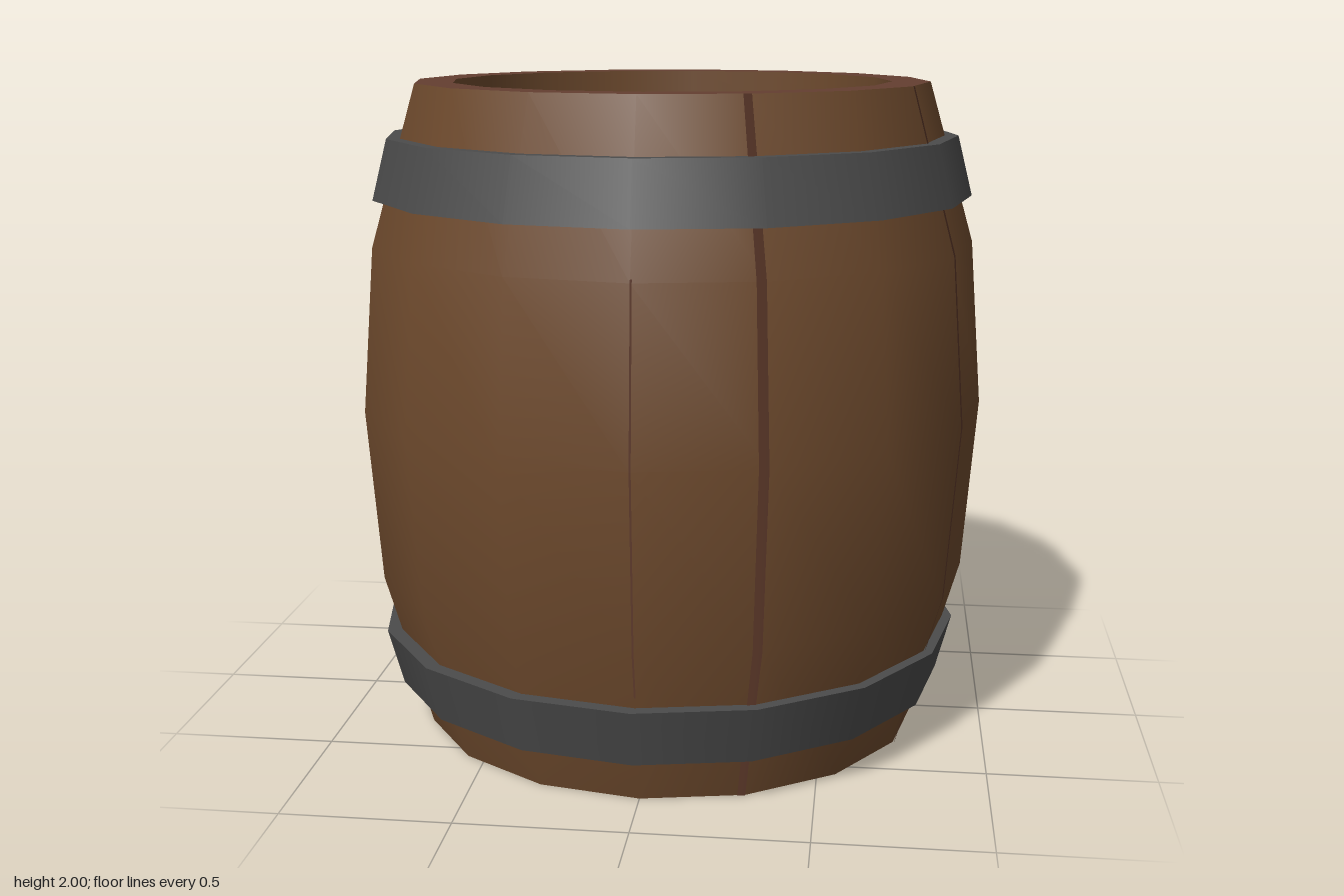
import * as THREE from 'three';

const SIDES = 16;
const PROFILE = [[0.785, 0], [0.925, 0.49], [0.965, 1.02], [0.925, 1.52], [0.785, 2]];

const material = (name, color) => {
  const m = new THREE.MeshStandardMaterial({ color });
  m.name = name;
  return m;
};

// Radius of the staves at height y
function radiusAt(y) {
  const i = Math.max(1, PROFILE.findIndex((p) => p[1] >= y));
  const [r0, y0] = PROFILE[i - 1], [r1, y1] = PROFILE[i];
  return r0 + ((r1 - r0) * (y - y0)) / (y1 - y0);
}

// Sixteen-sided surface, smooth within itself and sharp against its neighbours
function ring(name, points, mat) {
  const pts = points.map(([r, y]) => new THREE.Vector2(r, y));
  const mesh = new THREE.Mesh(new THREE.LatheGeometry(pts, SIDES), mat);
  mesh.name = name;
  return mesh;
}

// Closed iron hoop; its flat edges run in to the staves
function hoop(name, y0, r0, y1, r1, mat) {
  const g = new THREE.Group();
  g.name = name;
  g.add(
    ring('hoopUnderside', [[radiusAt(y0) - 0.02, y0], [r0, y0]], mat),
    ring('hoopFace', [[r0, y0], [r1, y1]], mat),
    ring('hoopTop', [[r1, y1], [radiusAt(y1) - 0.02, y1]], mat)
  );
  return g;
}

// Thin dark strip following one facet, between fractions t0 and t1 of its width
function seam(facet, t0, t1, yStart, yEnd, mat) {
  const step = (Math.PI * 2) / SIDES;
  const a = facet * step, b = a + step;
  const heights = [yStart, ...PROFILE.map((p) => p[1]).filter((y) => y > yStart && y < yEnd), yEnd];
  const pos = [], normal = [], index = [];
  heights.forEach((y, i) => {
    const r = radiusAt(y) + 0.004;
    for (const t of [t0, t1]) {
      const x = THREE.MathUtils.lerp(Math.sin(a), Math.sin(b), t);
      const z = THREE.MathUtils.lerp(Math.cos(a), Math.cos(b), t);
      pos.push(x * r, y, z * r);
      normal.push(x, 0, z);
    }
    const k = i * 2;
    if (i) index.push(k - 2, k - 1, k + 1, k - 2, k + 1, k);
  });
  const geo = new THREE.BufferGeometry();
  geo.setAttribute('position', new THREE.Float32BufferAttribute(pos, 3));
  geo.setAttribute('normal', new THREE.Float32BufferAttribute(normal, 3));
  geo.setIndex(index);
  geo.normalizeNormals();
  const mesh = new THREE.Mesh(geo, mat);
  mesh.name = 'staveSeam';
  return mesh;
}

export function createModel() {
  const wood = material('stave wood', 0x6e4a2d);
  const endWood = material('end wood', 0x643f31);
  const lidWood = material('lid wood', 0x5e3a2f);
  const iron = material('hoop iron', 0x4b4b4b);
  const gap = material('seam wood', 0x5c3829);

  const barrel = new THREE.Group();
  barrel.name = 'barrel';
  const rim = 0.785, hole = 0.67, depth = 0.09;

  // Staves, rims and the recessed lid and base
  barrel.add(
    ring('staves', PROFILE, wood),
    ring('topRim', [[rim, 2], [hole, 2]], endWood),
    ring('topInnerWall', [[hole, 2], [hole, 2 - depth]], wood),
    ring('lid', [[hole, 2 - depth], [0, 2 - depth]], lidWood),
    ring('base', [[0, depth], [hole, depth]], lidWood),
    ring('bottomInnerWall', [[hole, depth], [hole, 0]], wood),
    ring('bottomRim', [[hole, 0], [rim, 0]], endWood)
  );

  // Hoops, the lower one sitting slightly off centre
  const lower = hoop('lowerHoop', 0.14, 0.865, 0.315, 0.912, iron);
  lower.position.set(-0.008, 0, 0.004);
  barrel.add(lower, hoop('upperHoop', 1.66, 0.919, 1.84, 0.873, iron));

  // Seams: facet, start and end fraction, bottom and top
  [
    [0, 0.92, 0.995, 0, 2],
    [3, 0, 0.065, 0, 2],
    [10, 0, 0.06, 0.4, 2],
    [0, 0, 0.015, 0.35, 1.53],
    [7, 0, 0.03, 1.25, 1.55],
  ].forEach((s) => barrel.add(seam(...s, gap)));

  return barrel;
}
